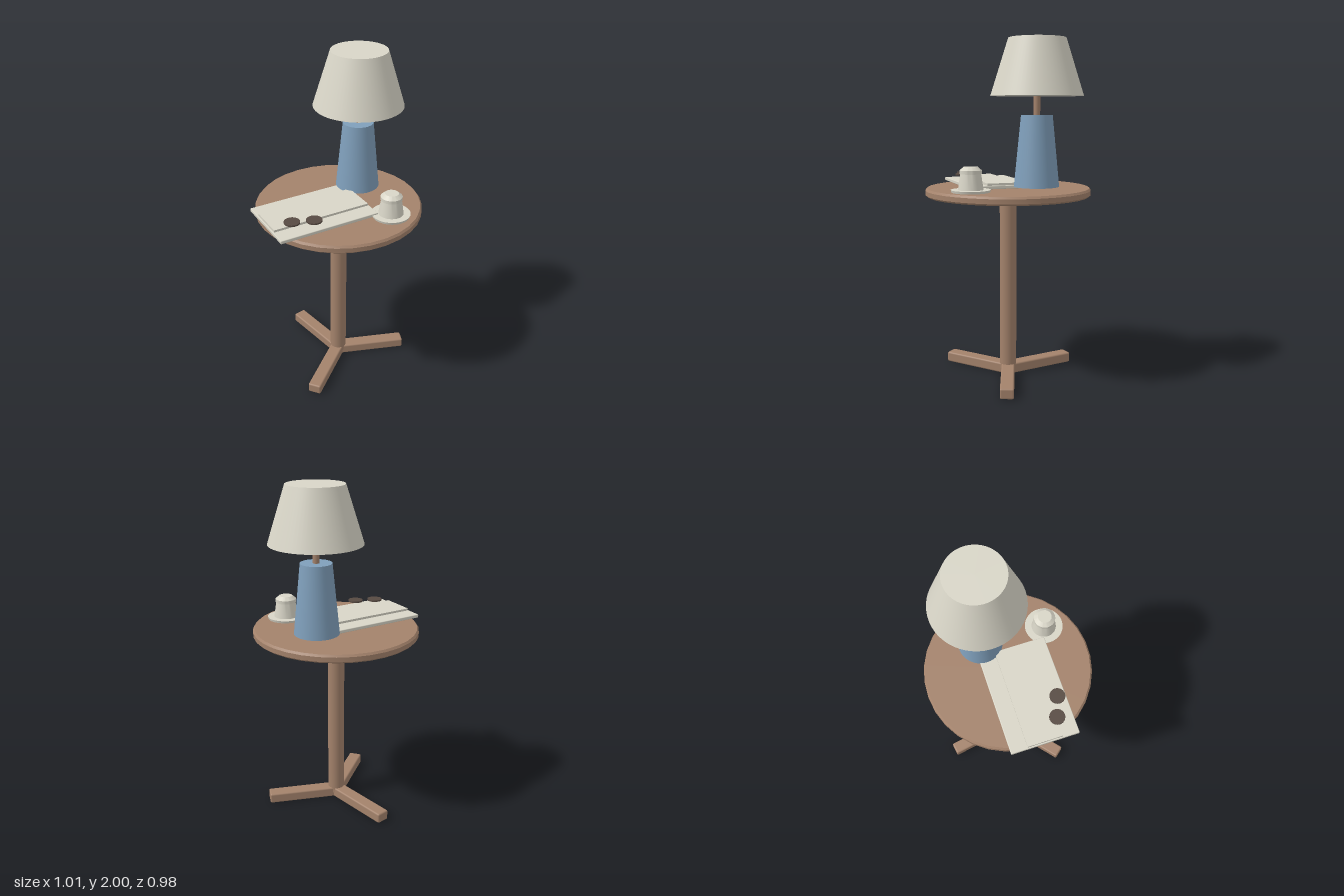
import * as THREE from 'three';
import { RoundedBoxGeometry } from 'three/addons/geometries/RoundedBoxGeometry.js';
import { toCreasedNormals } from 'three/addons/utils/BufferGeometryUtils.js';

const mat = (name, color) => {
  const m = new THREE.MeshStandardMaterial({ color });
  m.name = name;
  return m;
};

export function createModel() {
  const wood = mat('wood', 0xa3826b);
  const cream = mat('cream', 0xd8d5c7);
  const blue = mat('blue', 0x7f9fbb);
  const dark = mat('darkBrown', 0x574a42);

  const model = new THREE.Group();
  model.name = 'sideTable';

  const add = (name, geometry, material, x, y, z, parent = model) => {
    const mesh = new THREE.Mesh(geometry, material);
    mesh.name = name;
    mesh.position.set(x, y, z);
    parent.add(mesh);
    return mesh;
  };
  // Cone or cylinder standing between two heights
  const round = (name, rTop, rBottom, y0, y1, material, x, z, sides = 48, parent = model) =>
    add(name, new THREE.CylinderGeometry(rTop, rBottom, y1 - y0, sides), material, x, (y0 + y1) / 2, z, parent);
  // Turned solid from [radius, height] pairs
  const turned = (name, profile, sides, material, x, z, parent = model) => {
    const points = profile.map(([r, y]) => new THREE.Vector2(r, y));
    const geometry = toCreasedNormals(new THREE.LatheGeometry(points, sides), 0.5);
    return add(name, geometry, material, x, 0, z, parent);
  };

  // Table: softened round top, post and three feet
  const cx = 0.012;
  turned('tabletop', [[0, 1.098], [0.478, 1.098], [0.49, 1.108], [0.49, 1.135], [0.48, 1.147], [0, 1.147]],
    32, wood, cx, 0);
  round('post', 0.05, 0.05, 0.03, 1.1, wood, cx, 0, 32);
  for (let i = 0; i < 3; i++) {
    const foot = new THREE.Group();
    foot.name = 'foot';
    foot.position.x = cx;
    foot.rotation.y = i * Math.PI * 2 / 3;
    add('footBar', new RoundedBoxGeometry(0.43, 0.062, 0.08, 2, 0.01), wood, 0.215, 0.031, 0, foot);
    model.add(foot);
  }

  // Lamp
  const lamp = new THREE.Group();
  lamp.name = 'lamp';
  lamp.position.set(0.156, 0, -0.165);
  model.add(lamp);
  round('lampBase', 0.09, 0.13, 1.167, 1.573, blue, 0, 0, 48, lamp);
  round('lampStem', 0.019, 0.019, 1.56, 1.72, wood, 0, 0, 24, lamp);
  round('lampShade', 0.163, 0.264, 1.68, 2.0, cream, 0, 0, 64, lamp);

  // Folded paper: wide sheet with a narrower fold on top
  const paper = new THREE.Group();
  paper.name = 'foldedPaper';
  paper.position.set(-0.152, 0, 0.12);
  paper.rotation.y = THREE.MathUtils.degToRad(20);
  model.add(paper);
  add('paperSheet', new RoundedBoxGeometry(0.612, 0.02, 0.405, 2, 0.004), cream, 0, 1.16, 0, paper);
  add('paperFold', new THREE.BoxGeometry(0.596, 0.013, 0.207), cream, 0, 1.1765, 0, paper);

  // Pair of dark lenses
  for (const x of [-0.295, -0.172]) round('lens', 0.045, 0.045, 1.201, 1.21, dark, x, 0.285, 32);

  // Saucer and lidded cup
  const cup = new THREE.Group();
  cup.name = 'cupAndSaucer';
  cup.position.set(0.28, 0, 0.204);
  model.add(cup);
  round('saucer', 0.112, 0.108, 1.147, 1.161, cream, 0, 0, 40, cup);
  turned('cup', [[0, 1.16], [0.072, 1.16], [0.058, 1.252], [0, 1.252]], 40, cream, 0, 0, cup);
  turned('cupLid', [[0, 1.25], [0.062, 1.25], [0.062, 1.27], [0.04, 1.289], [0, 1.289]], 40, cream, 0, 0, cup);

  return model;
}
